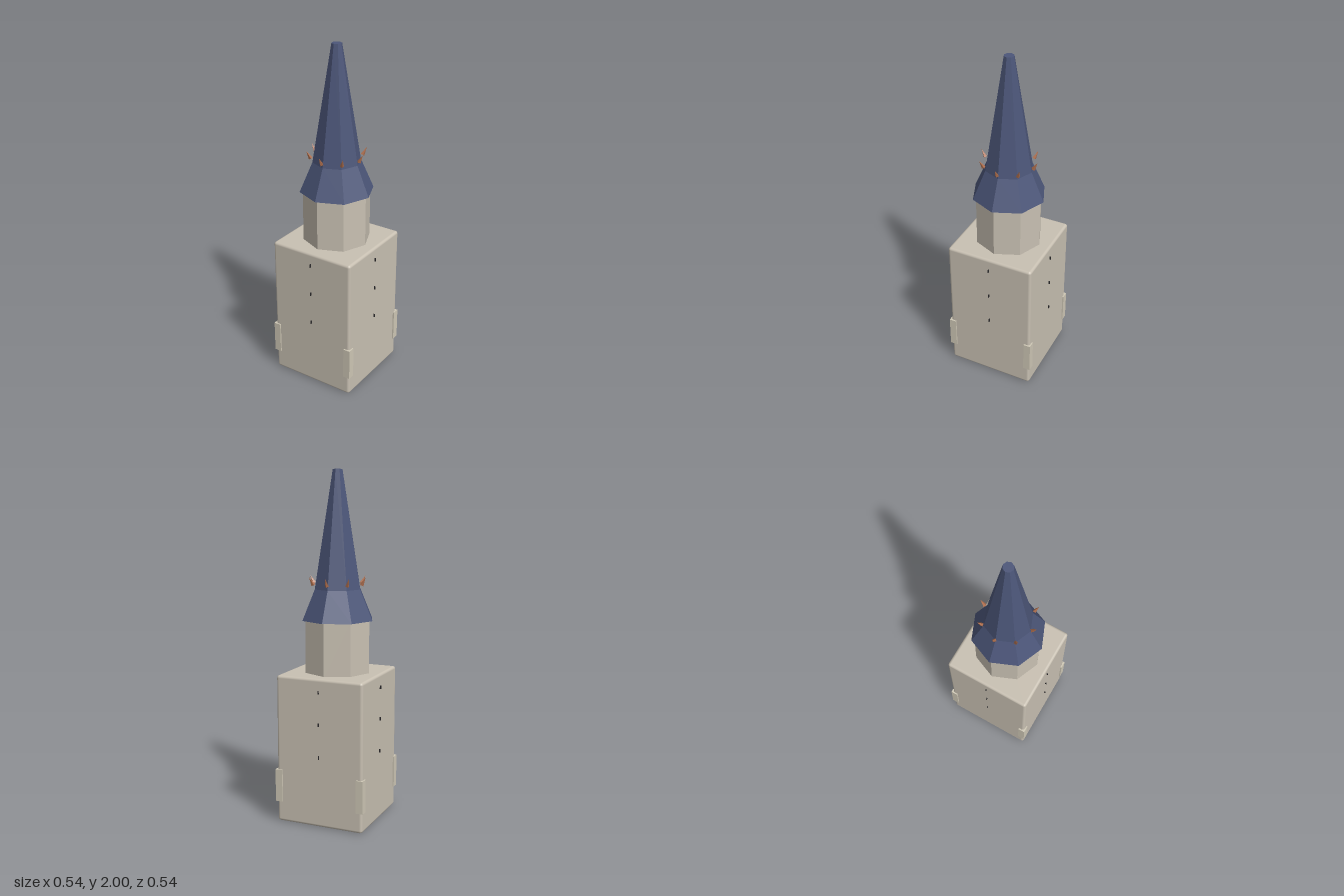
import * as THREE from 'three';
import { RoundedBoxGeometry } from 'three/addons/geometries/RoundedBoxGeometry.js';

function material(name, color) {
  const m = new THREE.MeshStandardMaterial({ color });
  m.name = name;
  return m;
}

export function createModel() {
  const group = new THREE.Group();
  const stone = material('stone', 0xc8c0b2);
  const trim = material('pale stone', 0xcfc8b6);
  const slate = material('blue slate', 0x4c5679);
  const copper = material('copper', 0xb0704f);
  const dark = material('dark opening', 0x2b2a2c);

  const add = (name, geometry, mat, parent = group) => {
    const mesh = new THREE.Mesh(geometry, mat);
    mesh.name = name;
    parent.add(mesh);
    return mesh;
  };
  const flat = (g) => {
    const n = g.toNonIndexed();
    n.computeVertexNormals();
    return n;
  };

  // Square tower with softened edges
  add('tower', new RoundedBoxGeometry(0.524, 0.86, 0.524, 2, 0.016), stone).position.y = 0.43;

  // Buttress block on each corner
  for (const x of [-1, 1]) for (const z of [-1, 1]) {
    add('cornerButtress', new THREE.BoxGeometry(0.042, 0.19, 0.042), trim)
      .position.set(x * 0.249, 0.215, z * 0.249);
  }

  // Three narrow slits up the middle of each wall
  for (let side = 0; side < 4; side++) {
    const wall = new THREE.Group();
    wall.name = 'wallSlits';
    wall.rotation.y = side * Math.PI / 2;
    group.add(wall);
    for (const y of [0.41, 0.6, 0.785]) {
      add('slit', new THREE.BoxGeometry(0.004, 0.02, 0.009), dark, wall).position.set(0, y, 0.2655);
    }
  }

  // Eight-sided drum
  add('drum', flat(new THREE.CylinderGeometry(0.195, 0.195, 0.32, 8)), stone).position.y = 1.01;

  // Spire with a flared skirt, closed below and blunt at the top
  const profile = [[0, 1.16], [0.213, 1.16], [0.138, 1.335], [0.029, 2], [0, 2]];
  add('spire', flat(new THREE.LatheGeometry(profile.map(([r, y]) => new THREE.Vector2(r, y)), 8)), slate);

  // Ring of small spikes leaning outward around the skirt
  for (let i = 0; i < 8; i++) {
    const arm = new THREE.Group();
    arm.name = 'spikeArm';
    arm.rotation.y = i * Math.PI / 4;
    group.add(arm);
    const spike = add('spike', flat(new THREE.ConeGeometry(0.012, 0.05, 4)), copper, arm);
    spike.position.set(0, 1.382, 0.159);
    spike.rotation.x = 0.5;
  }

  return group;
}
